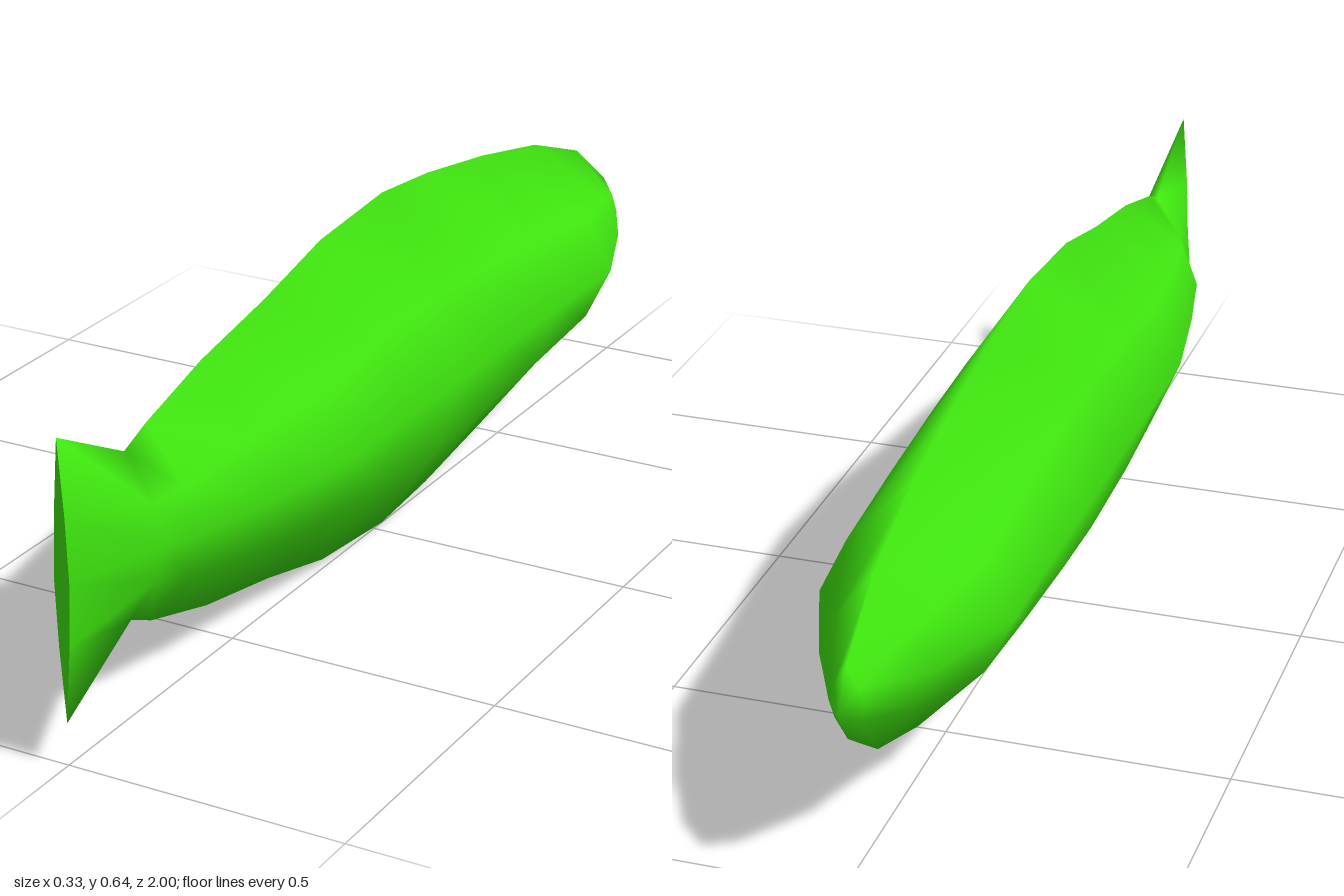
import * as THREE from 'three';
import { mergeVertices } from 'three/addons/utils/BufferGeometryUtils.js';

const MID_Y = 0.32;

// Body stations from nose to tail: [z, half width, half height]
const STATIONS = [
  [-1, 0, 0], [-0.96, 0.03, 0.065], [-0.83, 0.095, 0.16], [-0.64, 0.167, 0.228],
  [-0.42, 0.167, 0.272], [-0.2, 0.167, 0.305], [-0.03, 0.167, 0.32], [0.19, 0.167, 0.302],
  [0.38, 0.167, 0.258], [0.58, 0.135, 0.222], [0.75, 0.1, 0.175], [0.81, 0.07, 0.148],
  [1, 0.014, 0.245],
];

// Eight-sided section with a sharp ridge and keel, counter-clockwise
const SECTION = [
  [1, 0], [0.7, 0.453], [0, 1], [-0.7, 0.453],
  [-1, 0], [-0.7, -0.453], [0, -1], [0.7, -0.453],
];

// Skin lofted through the stations, with smooth normals
function loft() {
  const n = SECTION.length;
  const positions = [];
  const index = [];
  for (const [z, w, h] of STATIONS) {
    for (const [x, y] of SECTION) positions.push(x * w, MID_Y + y * h, z);
  }
  for (let i = 0; i < STATIONS.length - 1; i++) {
    for (let j = 0; j < n; j++) {
      const k = (j + 1) % n;
      const a = i * n + j, b = i * n + k;
      const c = b + n, d = a + n;
      if (i > 0) index.push(a, b, c); // the nose closes to a point
      index.push(a, c, d);
    }
  }
  let geometry = new THREE.BufferGeometry();
  geometry.setAttribute('position', new THREE.Float32BufferAttribute(positions, 3));
  geometry.setIndex(index);
  geometry = mergeVertices(geometry);
  geometry.computeVertexNormals();
  return geometry;
}

export function createModel() {
  const group = new THREE.Group();
  group.name = 'fish';
  const material = new THREE.MeshStandardMaterial({ color: 0x3fe60f });

  // Body running into the flared tail fin
  const body = new THREE.Mesh(loft(), material);
  body.name = 'bodyAndTail';
  group.add(body);

  // Flat end of the tail fin
  const [z, w, h] = STATIONS[STATIONS.length - 1];
  const outline = new THREE.Shape(SECTION.map(([x, y]) => new THREE.Vector2(x * w, y * h)));
  const end = new THREE.Mesh(new THREE.ShapeGeometry(outline), material);
  end.name = 'tailEnd';
  end.position.set(0, MID_Y, z);
  group.add(end);

  return group;
}
